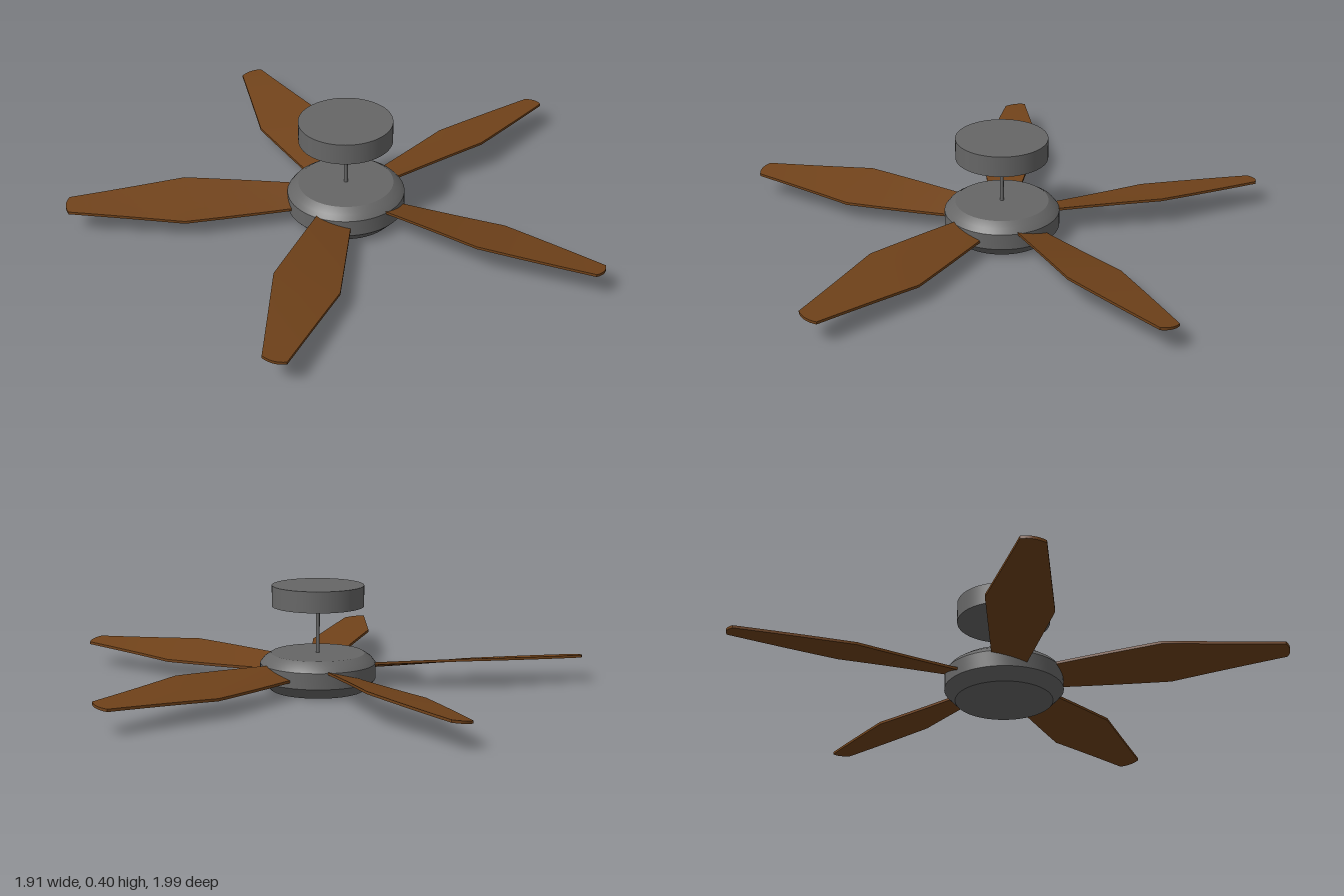
import * as THREE from 'three';
import { toCreasedNormals } from 'three/addons/utils/BufferGeometryUtils.js';

const metal = new THREE.MeshStandardMaterial({ color: 0x666666 });
const wood = new THREE.MeshStandardMaterial({ color: 0x70421a });

function part(name, geometry, material, y = 0) {
  const mesh = new THREE.Mesh(geometry, material);
  mesh.name = name;
  mesh.position.y = y;
  return mesh;
}

// Blade stations: distance from the axis, width, height, pitch in degrees
const stations = [
  [0.17, 0.118, 0.084, 16],
  [0.605, 0.235, 0.094, 11],
  [1.03, 0.084, 0.097, 8],
];

// A box bent through the stations, with a rounded tip
function bladeGeometry() {
  const thickness = 0.01;
  const geometry = new THREE.BoxGeometry(1, 1, 1, 12, 1, 8);
  const pos = geometry.attributes.position;
  for (let i = 0; i < pos.count; i++) {
    const t = (pos.getX(i) + 0.5) * 2;
    const k = t < 1 ? 0 : 1;
    const [r, width, height, pitch] = stations[k].map((v, j) =>
      THREE.MathUtils.lerp(v, stations[k + 1][j], t - k));
    const side = pos.getZ(i) * 2;
    const a = THREE.MathUtils.degToRad(pitch);
    const w = side * width / 2;
    const h = pos.getY(i) * thickness;
    const bulge = t > 1.99 ? 0.012 * (1 - side * side) : 0;
    pos.setXYZ(i, r + bulge, height + w * Math.tan(a) + h, w);
  }
  geometry.computeVertexNormals();
  return geometry;
}

export function createModel() {
  const fan = new THREE.Group();
  fan.name = 'ceilingFan';
  fan.position.set(-0.085, 0, 0.005);

  // Motor housing with bevelled top and bottom
  const profile = [[0, 0], [0.18, 0], [0.22, 0.042], [0.22, 0.103], [0.205, 0.122], [0.178, 0.14], [0, 0.14]];
  const housing = new THREE.LatheGeometry(profile.map(([r, y]) => new THREE.Vector2(r, y)), 64);
  fan.add(part('motorHousing', toCreasedNormals(housing, 0.35), metal));

  // Rod and ceiling mount
  fan.add(part('downRod', new THREE.CylinderGeometry(0.007, 0.007, 0.2, 16), metal, 0.23));
  fan.add(part('ceilingMount', new THREE.CylinderGeometry(0.175, 0.175, 0.08, 64), metal, 0.36));

  // Five pitched blades
  const geometry = bladeGeometry();
  for (let i = 0; i < 5; i++) {
    const blade = part(`blade${i + 1}`, geometry, wood);
    blade.rotation.y = THREE.MathUtils.degToRad(1.3 + i * 72);
    fan.add(blade);
  }

  const model = new THREE.Group();
  model.add(fan);
  return model;
}
